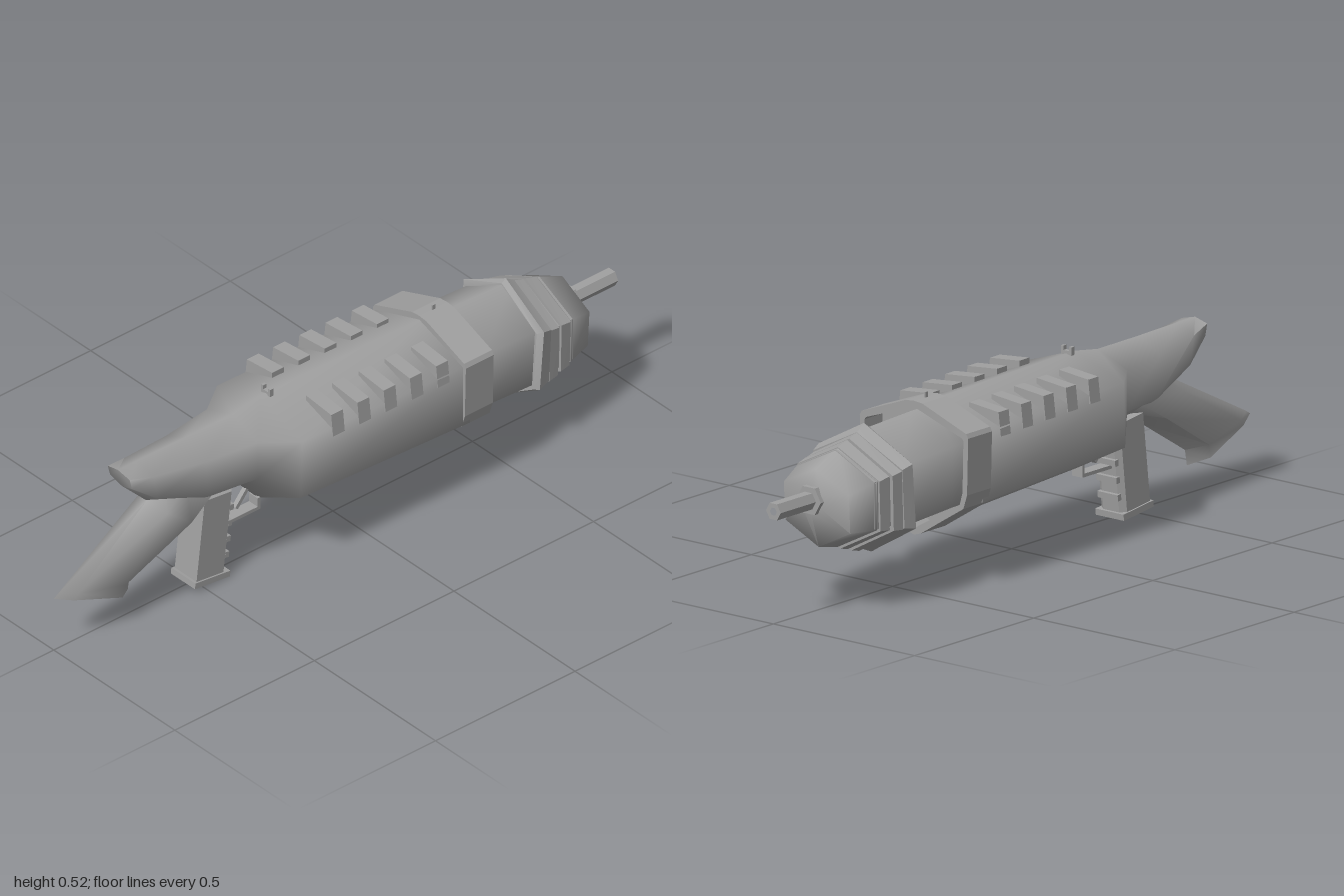
import * as THREE from 'three';
import { toCreasedNormals } from 'three/addons/utils/BufferGeometryUtils.js';

const metal = new THREE.MeshStandardMaterial({ color: 0xa0a0a0 });
metal.name = 'grey metal';

// Six-sided loft along +x. Station: top x, top y, bottom x, bottom y,
// half width at upper and lower shoulder. u, l: shoulder heights from top (0) to bottom (1).
function loft(stations, u, l, crease) {
  const pos = [], index = [];
  for (const [tx, ty, bx, by, wu, wl = wu] of stations) {
    for (const [t, z] of [[0, 0], [u, wu], [l, wl], [1, 0], [l, -wl], [u, -wu]]) {
      pos.push(tx + (bx - tx) * t, ty + (by - ty) * t, z);
    }
  }
  const last = (stations.length - 1) * 6;
  for (let s = 0; s < last; s += 6) {
    for (let j = 0; j < 6; j++) {
      const k = (j + 1) % 6;
      index.push(s + j, s + k, s + 6 + j, s + k, s + 6 + k, s + 6 + j);
    }
  }
  for (let j = 1; j < 5; j++) {
    index.push(0, j + 1, j, last, last + j, last + j + 1);
  }
  const geo = new THREE.BufferGeometry();
  geo.setAttribute('position', new THREE.Float32BufferAttribute(pos, 3));
  geo.setIndex(index);
  return toCreasedNormals(geo, crease);
}

// Polygon in (z, y), optionally hollow, extruded along x
function extrudeX(points, x0, depth, hole) {
  const vec = (list) => list.map(([z, y]) => new THREE.Vector2(-z, y));
  const shape = new THREE.Shape(vec(points));
  if (hole) shape.holes.push(new THREE.Path(vec(hole)));
  const geo = new THREE.ExtrudeGeometry(shape, { depth, bevelEnabled: false });
  return geo.rotateY(Math.PI / 2).translate(x0, 0, 0);
}

const mirrorLoop = (half) => [...half, ...half.slice().reverse().filter(([z]) => z !== 0).map(([z, y]) => [-z, y])];

const hexagon = (r, cy) => Array.from({ length: 6 }, (_, i) => [
  r * Math.cos(i * Math.PI / 3), cy + r * Math.sin(i * Math.PI / 3)]);

export function createModel() {
  const model = new THREE.Group();
  const add = (name, geo, parent = model) => {
    const mesh = new THREE.Mesh(geo, metal);
    mesh.name = name;
    parent.add(mesh);
    return mesh;
  };
  const box = (name, w, h, d, x, y, z, parent) => {
    const mesh = add(name, new THREE.BoxGeometry(w, h, d), parent);
    mesh.position.set(x, y, z);
    return mesh;
  };

  // Main shell and stock
  add('body', loft([
    [-0.77, 0.50, -0.755, 0.44, 0.045],
    [-0.70, 0.50, -0.67, 0.355, 0.06],
    [-0.53, 0.497, -0.51, 0.28, 0.082],
    [-0.36, 0.496, -0.36, 0.28, 0.105],
    [-0.26, 0.512, -0.27, 0.18, 0.176],
    [0.335, 0.50, 0.335, 0.15, 0.18],
  ], 0.18, 0.73, 1.4));
  add('stock', loft([
    [-1.0, 0.18, -0.735, 0.09, 0.022, 0.04],
    [-0.985, 0.19, -0.727, 0.135, 0.024, 0.042],
    [-0.67, 0.35, -0.54, 0.25, 0.06, 0.07],
    [-0.60, 0.41, -0.45, 0.30, 0.05, 0.06],
  ], 0.2, 0.8, 1.2));

  // Hollow collar around the barrel
  add('collar', extrudeX(
    mirrorLoop([[0, 0.513], [0.03, 0.51], [0.185, 0.452], [0.192, 0.44], [0.188, 0.28], [0.175, 0.24], [0.025, 0.145], [0, 0.137]]),
    0.31, 0.1,
    mirrorLoop([[0, 0.496], [0.17, 0.437], [0.175, 0.43], [0.172, 0.285], [0.162, 0.25], [0, 0.155]])));

  // Barrel, stepped rings and nose
  add('barrel', loft([
    [0.32, 0.489, 0.32, 0.182, 0.146],
    [0.42, 0.487, 0.42, 0.18, 0.145],
    [0.64, 0.478, 0.60, 0.168, 0.143],
  ], 0.25, 0.8, 1.4));
  add('barrelLip', loft([
    [0.605, 0.485, 0.583, 0.128, 0.15],
    [0.62, 0.495, 0.59, 0.128, 0.166],
    [0.65, 0.475, 0.632, 0.145, 0.158],
  ], 0.24, 0.74, 0.7));
  add('noseCore', loft([
    [0.62, 0.455, 0.62, 0.165, 0.145],
    [0.74, 0.445, 0.74, 0.175, 0.138],
  ], 0.25, 0.74, 0.7));
  for (const [x, top, bottom, w] of [[0.648, 0.476, 0.14, 0.156], [0.695, 0.462, 0.155, 0.149]]) {
    add('noseRing', loft([
      [x - 0.004, top, x - 0.008, bottom, w],
      [x + 0.034, top - 0.012, x + 0.024, bottom + 0.008, w - 0.004],
    ], 0.25, 0.74, 0.7));
  }
  add('nose', loft([
    [0.73, 0.447, 0.73, 0.17, 0.14],
    [0.823, 0.408, 0.81, 0.187, 0.115],
    [0.84, 0.36, 0.84, 0.285, 0.035],
  ], 0.25, 0.74, 1.2));

  // Hexagonal nut and hollow muzzle rod
  add('muzzleNut', extrudeX(hexagon(0.043, 0.326), 0.83, 0.022));
  add('muzzleRod', extrudeX(hexagon(0.026, 0.326), 0.83, 0.17, hexagon(0.012, 0.326)));

  // Raised vents on both shoulders
  for (const side of [1, -1]) {
    for (let i = 0; i < 5; i++) {
      const drop = i * 0.003;
      const outline = [[0.07, 0.502], [0.174, 0.492], [0.182, 0.425], [0.15, 0.42], [0.07, 0.46]];
      add('vent', extrudeX(outline.map(([z, y]) => [side * z, y - drop]), -0.157 + i * 0.094, 0.042));
    }
  }

  // Rear notch sight and front post
  box('rearSightBase', 0.012, 0.012, 0.036, -0.235, 0.513, 0);
  for (const side of [1, -1]) box('rearSightPost', 0.012, 0.022, 0.009, -0.235, 0.52, side * 0.0145);
  box('frontSight', 0.01, 0.024, 0.005, 0.36, 0.516, 0);

  // Tilted grip with chamfered corners, base plate and finger ridges
  const grip = new THREE.Group();
  grip.name = 'grip';
  grip.position.set(-0.459, 0.155, 0);
  grip.rotation.z = -0.115;
  model.add(grip);
  const section = new THREE.Shape([
    [-0.055, -0.045], [0.042, -0.045], [0.055, -0.028], [0.055, 0.028], [0.042, 0.045], [-0.055, 0.045],
  ].map(([x, z]) => new THREE.Vector2(x, z)));
  add('gripHandle', new THREE.ExtrudeGeometry(section, { depth: 0.27, bevelEnabled: false })
    .rotateX(-Math.PI / 2).translate(0, -0.135, 0), grip);
  box('gripBase', 0.126, 0.018, 0.1, 0, -0.129, 0, grip);
  for (let i = 0; i < 4; i++) box('fingerRidge', 0.014, 0.018, 0.072, 0.058, -0.075 + i * 0.05, 0, grip);

  // Trigger and guard
  box('guardBar', 0.125, 0.01, 0.036, -0.338, 0.16, 0);
  box('guardFront', 0.01, 0.035, 0.036, -0.28, 0.175, 0);
  box('trigger', 0.012, 0.065, 0.014, -0.33, 0.208, 0).rotation.z = -0.7;

  return model;
}
